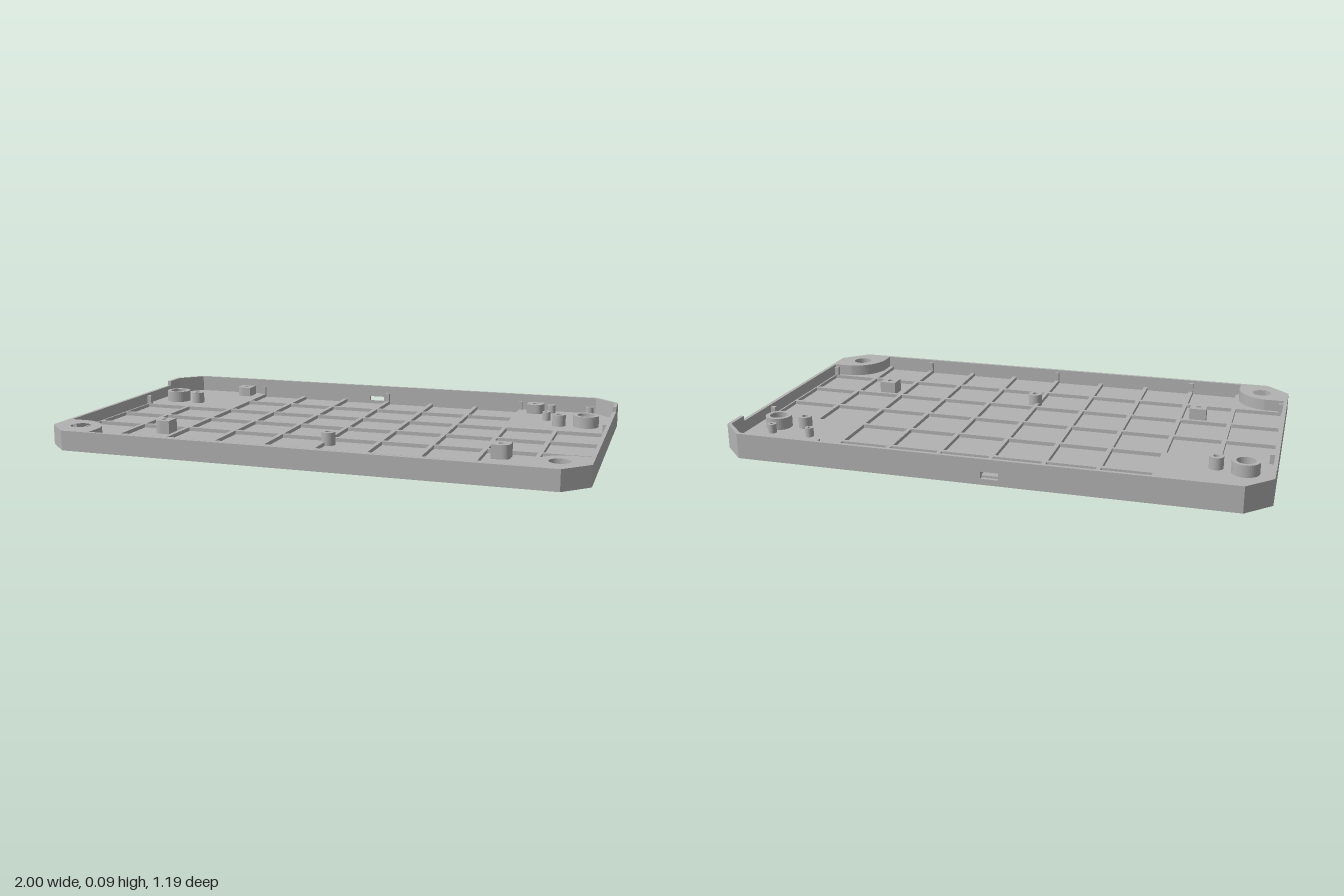
import * as THREE from 'three';

const W = 1, D = 0.596, CHAMFER = 0.09;       // half width, half depth, corner cut
const WALL = 0.014, FLOOR = 0.016, RIB = 0.03; // wall thickness, floor top, rib top
const RIM = 0.075, BACK_RIM = 0.095;

const grey = new THREE.MeshStandardMaterial({ color: 0xb2b2b2 });
grey.name = 'grey plastic';

// Chamfered outline inset by t, clockwise from the back edge, as [x, z]
function corners(t) {
  const w = W - t, d = D - t, c = CHAMFER - t * (2 - Math.SQRT2);
  return [[w - c, -d], [w, -d + c], [w, d - c], [w - c, d],
    [-w + c, d], [-w, d - c], [-w, -d + c], [-w + c, -d]];
}

const toShape = pts => new THREE.Shape(pts.map(p => new THREE.Vector2(p[0], p[1])));

// Strip between an outer path and its inset copy
const band = path => toShape([...path(0), ...path(WALL).reverse()]);

function circle(x, z, r) {
  const p = new THREE.Path();
  p.absarc(x, z, r, 0, Math.PI * 2, true);
  return p;
}

function rect(x0, z0, x1, z1) {
  return new THREE.Path([[x0, z0], [x0, z1], [x1, z1], [x1, z0]].map(p => new THREE.Vector2(...p)));
}

export function createModel() {
  const group = new THREE.Group();

  // Extrude a plan shape (x, z) between two heights
  function slab(name, shape, y0, y1) {
    const geo = new THREE.ExtrudeGeometry(shape, { depth: y1 - y0, bevelEnabled: false, curveSegments: 20 });
    geo.rotateX(Math.PI / 2).translate(0, y1, 0);
    const mesh = new THREE.Mesh(geo, grey);
    mesh.name = name;
    group.add(mesh);
  }

  // Floor plate
  slab('floor', toShape(corners(0)), 0, FLOOR);

  // Rib lattice, leaving solid pads in the back corners
  const lattice = toShape(corners(WALL));
  const pitch = 0.1975, half = 0.0905;
  for (let row = 0; row < 6; row++) {
    for (let col = 0; col < 10; col++) {
      const edge = Math.min(col, 9 - col);
      if ((row < 2 && edge < 2) || (row === 5 && edge < 1)) continue;
      const x = (col - 4.5) * pitch, z = (row - 2.5) * 0.1965;
      lattice.holes.push(rect(x - half, z - half, x + half, z + half));
    }
  }
  slab('ribLattice', lattice, FLOOR, RIB);

  // Outer wall with a small slot in the back
  const ring = toShape(corners(0));
  ring.holes.push(new THREE.Path(corners(WALL).map(p => new THREE.Vector2(...p))));
  const slotLow = 0.022, slotHigh = 0.048;
  slab('lowerWall', ring, FLOOR, slotLow);
  slab('slottedWall', band(t => [[-0.02, -D + t], ...corners(t), [-0.085, -D + t]]), slotLow, slotHigh);
  slab('upperWall', ring, slotHigh, RIM);

  // Raised rim around the back
  slab('backRim', band(t => {
    const c = corners(t);
    return [[-W + t, -0.41], c[6], c[7], c[0], c[1], [W - t, -0.41]];
  }), RIM, BACK_RIM);

  // Ring-shaped posts
  function post(name, x, z, r, hole, top) {
    const s = new THREE.Shape();
    s.absarc(x, z, r, 0, Math.PI * 2, false);
    s.holes.push(circle(x, z, hole));
    slab(name, s, FLOOR, top);
  }

  for (const side of [-1, 1]) {
    // Front corner blocks with blind holes
    const f = corners(WALL / 2);
    const block = new THREE.Shape();
    const inX = 0.8, inZ = 0.4, r = 0.11;
    block.moveTo(side * f[2][0], inZ);
    block.lineTo(side * f[2][0], f[2][1]);
    block.lineTo(side * f[3][0], f[3][1]);
    block.lineTo(side * inX, f[3][1]);
    block.lineTo(side * inX, inZ + r);
    block.quadraticCurveTo(side * (inX + 0.02), inZ + 0.02, side * (inX + r), inZ);
    block.holes.push(circle(side * 0.893, 0.49, 0.037));
    slab('cornerBlock', block, FLOOR, RIM);

    // Large and small posts in the back corners
    post('largePost', side * 0.893, -0.31, 0.05, 0.034, 0.075);
    post('screwPost', side * 0.79, -0.292, 0.026, 0.012, 0.075);

    // Square bosses with one rounded corner
    for (const z of [-0.528, 0.257]) {
      const x = 0.662, a = 0.033;
      const boss = new THREE.Shape();
      boss.moveTo(side * (x - a), z - a);
      boss.lineTo(side * (x + a), z - a);
      boss.lineTo(side * (x + a), z);
      boss.quadraticCurveTo(side * (x + a), z + a, side * x, z + a);
      boss.lineTo(side * (x - a), z + a);
      boss.holes.push(circle(side * x, z, 0.011));
      slab('screwBoss', boss, FLOOR, 0.068);
    }

    // Gussets on the side walls
    for (const z of [-0.197, 0.393]) {
      const x = side * (W - WALL - 0.008);
      slab('sideGusset', toShape([[x - 0.01, z - 0.008], [x + 0.01, z - 0.008],
        [x + 0.01, z + 0.008], [x - 0.01, z + 0.008]]), RIB, 0.065);
    }
  }

  // Gussets on the front and back walls
  for (const end of [-1, 1]) {
    for (const x of [-0.5925, 0, 0.5925]) {
      const z = end * (D - WALL - 0.006);
      slab('endGusset', toShape([[x - 0.008, z - 0.008], [x + 0.008, z - 0.008],
        [x + 0.008, z + 0.008], [x - 0.008, z + 0.008]]), RIB, 0.065);
    }
  }

  // Four thin posts in one back corner, and the centre post
  for (const x of [0.728, 0.884]) {
    for (const z of [-0.54, -0.383]) post('thinPost', x, z, 0.016, 0.007, 0.065);
  }
  post('centrePost', 0.014, 0.257, 0.027, 0.012, 0.065);

  return group;
}
